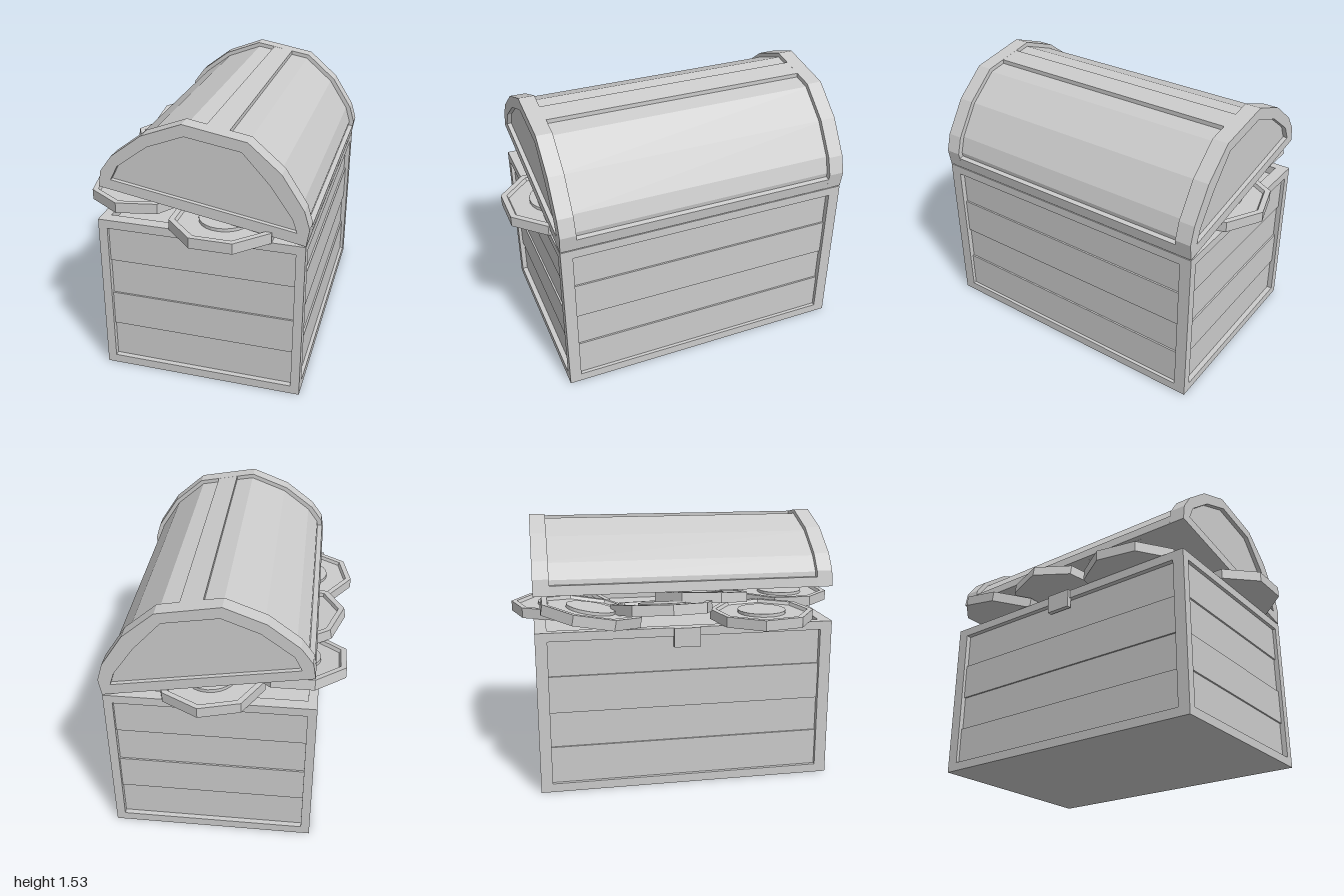
import * as THREE from 'three';

const grey = new THREE.MeshStandardMaterial({ color: 0xcccccc, flatShading: true });

function add(parent, name, geometry) {
  const mesh = new THREE.Mesh(geometry, grey);
  mesh.name = name;
  parent.add(mesh);
  return mesh;
}

// Box given by its limits
function block(parent, name, x0, x1, y0, y1, z0, z1) {
  const m = add(parent, name, new THREE.BoxGeometry(x1 - x0, y1 - y0, z1 - z0));
  m.position.set((x0 + x1) / 2, (y0 + y1) / 2, (z0 + z1) / 2);
}

// Cross-section in x, y extruded from z0 to z1
function slab(parent, name, points, z0, z1, hole) {
  const toVec = ([x, y]) => new THREE.Vector2(x, y);
  const shape = new THREE.Shape(points.map(toVec));
  if (hole) shape.holes.push(new THREE.Path(hole.map(toVec)));
  const g = new THREE.ExtrudeGeometry(shape, { depth: z1 - z0, bevelEnabled: false });
  g.translate(0, 0, z0);
  add(parent, name, g);
}

const X0 = -0.49, X1 = 0.65, Z0 = -0.87, Z1 = 0.83, TOP = 0.94;
const FX = 0.05, FY = 0.05, FZ = 0.067;

function createBody() {
  const body = new THREE.Group();
  body.name = 'chestBody';
  // Corner posts
  for (const x of [X0, X1 - FX])
    for (const z of [Z0, Z1 - FZ]) block(body, 'cornerPost', x, x + FX, 0, TOP, z, z + FZ);
  // Bottom and top rails
  for (const y of [0, TOP - FY]) {
    for (const x of [X0, X1 - FX]) block(body, 'sideRail', x, x + FX, y, y + FY, Z0 + FZ, Z1 - FZ);
    for (const z of [Z0, Z1 - FZ]) block(body, 'endRail', X0 + FX, X1 - FX, y, y + FY, z, z + FZ);
  }
  // Recessed planks, alternating in depth
  const rows = [0.05, 0.265, 0.47, 0.683, 0.89];
  for (let i = 0; i < 4; i++) {
    const side = i % 2 ? 0.03 : 0.02, end = i % 2 ? 0.02 : 0.03;
    block(body, 'sidePlank', X0 + side, X1 - side, rows[i], rows[i + 1], Z0 + FZ, Z1 - FZ);
    block(body, 'endPlank', X0 + FX, X1 - FX, rows[i], rows[i + 1], Z0 + end, Z1 - end);
  }
  block(body, 'floor', X0 + 0.01, X1 - 0.01, 0, 0.05, Z0 + 0.01, Z1 - 0.01);
  block(body, 'latchPlate', X0 - 0.018, X0 + 0.01, 0.83, TOP, -0.1, 0.05);
  return body;
}

function createLid() {
  const lid = new THREE.Group();
  lid.name = 'lid';
  const outer = [[0.65, 0.945], [0.665, 1.04], [0.635, 1.14], [0.515, 1.325], [0.34, 1.475],
    [0, 1.535], [-0.22, 1.45], [-0.39, 1.32], [-0.455, 1.23], [-0.47, 1.14]];
  const opening = [[0.6, 1.015], [0.575, 1.09], [0.46, 1.255], [0.31, 1.42],
    [0.01, 1.47], [-0.19, 1.392], [-0.36, 1.265], [-0.4, 1.185]];
  const cx = 0.09, cy = 1.0425, k = 0.95;
  const core = outer.map(([x, y]) => [cx + (x - cx) * k, cy + (y - cy) * k]);
  // Arched rims at both ends around recessed panels
  slab(lid, 'endRim', outer, 0.74, Z1, opening);
  slab(lid, 'endRim', outer, Z0, -0.78, opening);
  slab(lid, 'barrel', core, Z0 + 0.025, Z1 - 0.025);
  // Raised strap on top and strips along the lower edges
  slab(lid, 'topStrap', [[0.225, 1.4], [0.225, 1.495], [0.105, 1.516], [0.105, 1.4]], -0.78, 0.74);
  slab(lid, 'hingeStrip', [[0.55, 0.962], [0.65, 0.945], [0.66, 1.01], [0.55, 1.03]], -0.78, 0.74);
  slab(lid, 'frontStrip', [[-0.37, 1.123], [-0.37, 1.19], [-0.462, 1.195], [-0.47, 1.14]], -0.78, 0.74);
  return lid;
}

function createCoin([x, y, z, yaw, tiltX, tiltZ]) {
  const coin = new THREE.Group();
  coin.name = 'coin';
  const profile = [[0, 0], [0.3, 0], [0.3, 0.06], [0.267, 0.06], [0.257, 0.042], [0, 0.042]];
  const plate = add(coin, 'coinPlate',
    new THREE.LatheGeometry(profile.map(([r, h]) => new THREE.Vector2(r, h)), 8));
  plate.rotation.y = yaw;
  const disc = add(coin, 'coinDisc', new THREE.CylinderGeometry(0.14, 0.14, 0.018, 24));
  disc.position.y = 0.051;
  coin.position.set(x, y, z);
  coin.rotation.set(tiltX, 0, tiltZ);
  return coin;
}

export function createModel() {
  const model = new THREE.Group();
  model.name = 'treasureChest';
  model.add(createBody(), createLid());
  // x, y, z, yaw, tilt about x, tilt about z
  const coins = [
    [0.195, 0.94, 0.723, Math.PI / 8, 0, 0],
    [-0.37, 0.94, 0.44, -0.977, 0, 0],
    [0.09, 0.94, -0.7, -0.109, 0, 0],
    [-0.355, 0.99, -0.56, Math.PI / 8, 0.17, 0],
    [-0.33, 0.99, -0.14, 0.05, 0, -0.17],
    [-0.03, 0.985, 0.15, 0.2, 0.03, -0.17],
  ];
  for (const c of coins) model.add(createCoin(c));
  return model;
}
